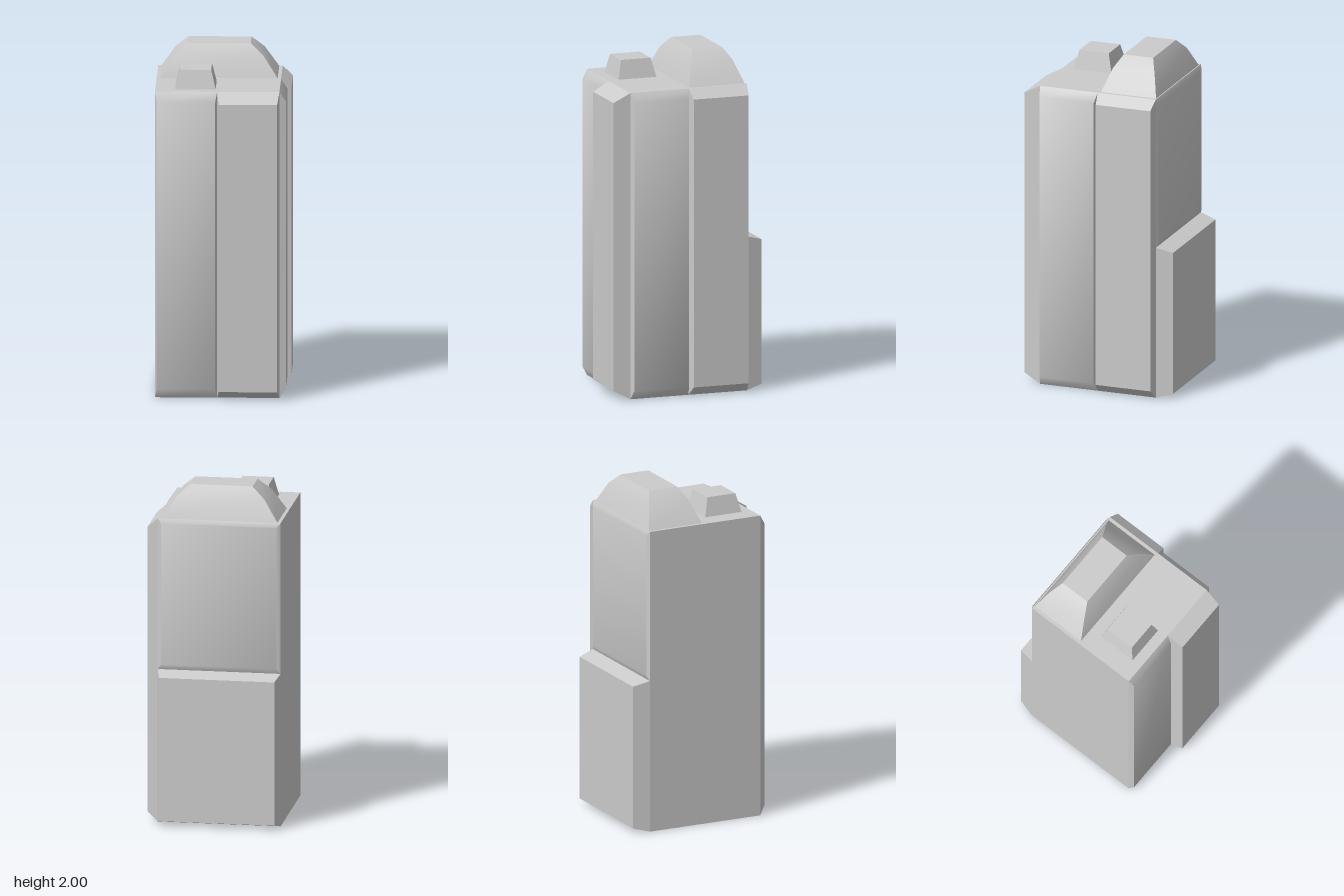
import * as THREE from 'three';
import { toCreasedNormals } from 'three/addons/utils/BufferGeometryUtils.js';

const X0 = -0.39, X1 = 0.33, Z0 = -0.36, Z1 = 0.358, H = 1.81; // core block
const SPLIT_X = -0.03, SPLIT_Z = 0, SPLIT_Y = 0.91;
const TAPER = 0.94;

// Stack of rectangles along +z, each [width, height, z], capped at the last one
function taperedStack(levels) {
  const points = [], faces = [];
  for (const [w, h, z] of levels) {
    for (const [sx, sy] of [[-1, -1], [1, -1], [1, 1], [-1, 1]]) points.push(sx * w / 2, sy * h / 2, z);
  }
  const quad = (a, b, c, d) => faces.push(a, b, c, a, c, d);
  for (let l = 0; l < levels.length - 1; l++) {
    for (let i = 0; i < 4; i++) {
      const a = l * 4 + i, b = l * 4 + (i + 1) % 4;
      quad(a, b, b + 4, a + 4);
    }
  }
  const top = (levels.length - 1) * 4;
  quad(top, top + 1, top + 2, top + 3);
  const geometry = new THREE.BufferGeometry();
  geometry.setAttribute('position', new THREE.Float32BufferAttribute(points, 3));
  geometry.setIndex(faces);
  return toCreasedNormals(geometry, 0.62);
}

export function createModel() {
  const model = new THREE.Group();
  const material = new THREE.MeshStandardMaterial({ color: 0xcccccc });
  const add = (name, geometry, x = 0, y = 0, z = 0) => {
    const mesh = new THREE.Mesh(geometry, material);
    mesh.name = name;
    mesh.position.set(x, y, z);
    model.add(mesh);
    return mesh;
  };

  // Main block
  add('towerCore', new THREE.BoxGeometry(X1 - X0, H, Z1 - Z0),
    (X0 + X1) / 2, H / 2, (Z0 + Z1) / 2);

  // Facade panels: span across the wall, span in height, depth of the bulge
  const panel = (w, h, depth) => taperedStack([[w, h, 0], [w * TAPER, h * TAPER, depth]]);
  const front = (name, a, b, depth) =>
    add(name, panel(b - a, H, depth), (a + b) / 2, H / 2, Z1);
  const side = (name, a, b, depth) => {
    add(name, panel(b - a, H, depth), X1, H / 2, (a + b) / 2).rotation.y = Math.PI / 2;
  };
  const back = (name, a, b, depth) => {
    add(name, panel(X1 - X0, b - a, depth), (X0 + X1) / 2, (a + b) / 2, Z0).rotation.y = Math.PI;
  };
  front('frontRightPanel', X0, SPLIT_X, 0.032);
  front('frontLeftPanel', SPLIT_X, X1, 0.1);
  side('leftFrontPanel', SPLIT_Z, Z1, 0.037);
  side('leftBackPanel', Z0, SPLIT_Z, 0.06);
  back('backLowerPanel', 0, SPLIT_Y, 0.098);
  back('backUpperPanel', SPLIT_Y, H, 0.012);

  // Two-step hipped roof and the small rooftop box
  const roof = (name, levels, x, z) => {
    add(name, taperedStack(levels), x, H, z).rotation.x = -Math.PI / 2;
  };
  roof('hippedRoof', [[0.68, 0.342, 0], [0.514, 0.258, 0.125], [0.364, 0.182, 0.19]], -0.03, -0.183);
  roof('rooftopBox', [[0.235, 0.235, 0], [0.182, 0.182, 0.11]], -0.158, 0.177);

  return model;
}
